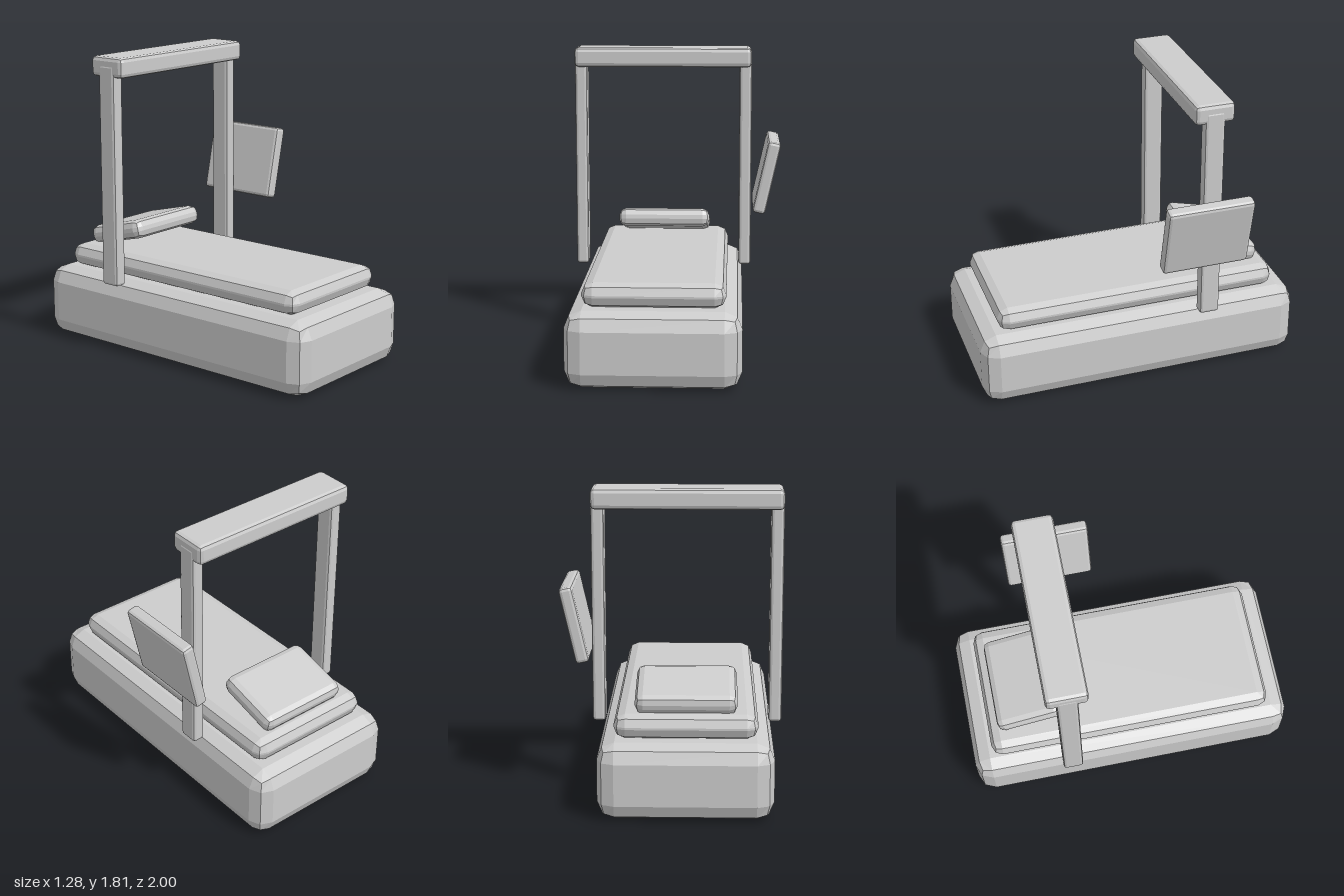
import * as THREE from 'three';

const grey = new THREE.MeshStandardMaterial({ color: 0xcccccc, flatShading: true });
grey.name = 'lightGrey';

// Box whose edges are rounded with a two-step bevel of radius r
function bevelBox(w, h, d, r) {
  const geo = new THREE.BoxGeometry(1, 1, 1, 3, 3, 3);
  const pos = geo.attributes.position;
  const half = [w / 2, h / 2, d / 2];
  for (let i = 0; i < pos.count; i++) {
    const p = [pos.getX(i), pos.getY(i), pos.getZ(i)];
    const n = new THREE.Vector3(...p.map((v) => (Math.abs(v) > 0.4 ? Math.sign(v) : 0))).normalize();
    const q = p.map((v, k) => Math.sign(v) * (half[k] - r));
    pos.setXYZ(i, q[0] + n.x * r, q[1] + n.y * r, q[2] + n.z * r);
  }
  const flat = geo.toNonIndexed();
  flat.computeVertexNormals();
  return flat;
}

export function createModel() {
  const group = new THREE.Group();
  const midX = -0.088; // centre line of the bed and frame

  function add(name, size, r, at, rot = [0, 0, 0]) {
    const mesh = new THREE.Mesh(bevelBox(...size, r), grey);
    mesh.name = name;
    mesh.position.set(...at);
    mesh.rotation.set(...rot);
    group.add(mesh);
  }

  // Bed
  add('base', [1.0, 0.444, 2.0], 0.1, [midX, 0.222, 0]);
  add('mattress', [0.816, 0.142, 1.752], 0.065, [midX, 0.514, 0]);
  add('pillow', [0.58, 0.115, 0.42], 0.045, [midX, 0.671, -0.608], [-0.25, 0, 0]);

  // Overhead frame
  for (const [side, name] of [[-1, 'rightPost'], [1, 'leftPost']]) {
    add(name, [0.077, 1.335, 0.123], 0.018, [midX + side * 0.515, 1.0975, -0.395]);
  }
  add('crossBeam', [1.102, 0.12, 0.242], 0.025, [midX, 1.75, -0.395]);

  // Tilted side panel
  add('sidePanel', [0.08, 0.45, 0.53], 0.02, [0.557, 1.034, -0.325], [0, 0, -0.22]);

  return group;
}
